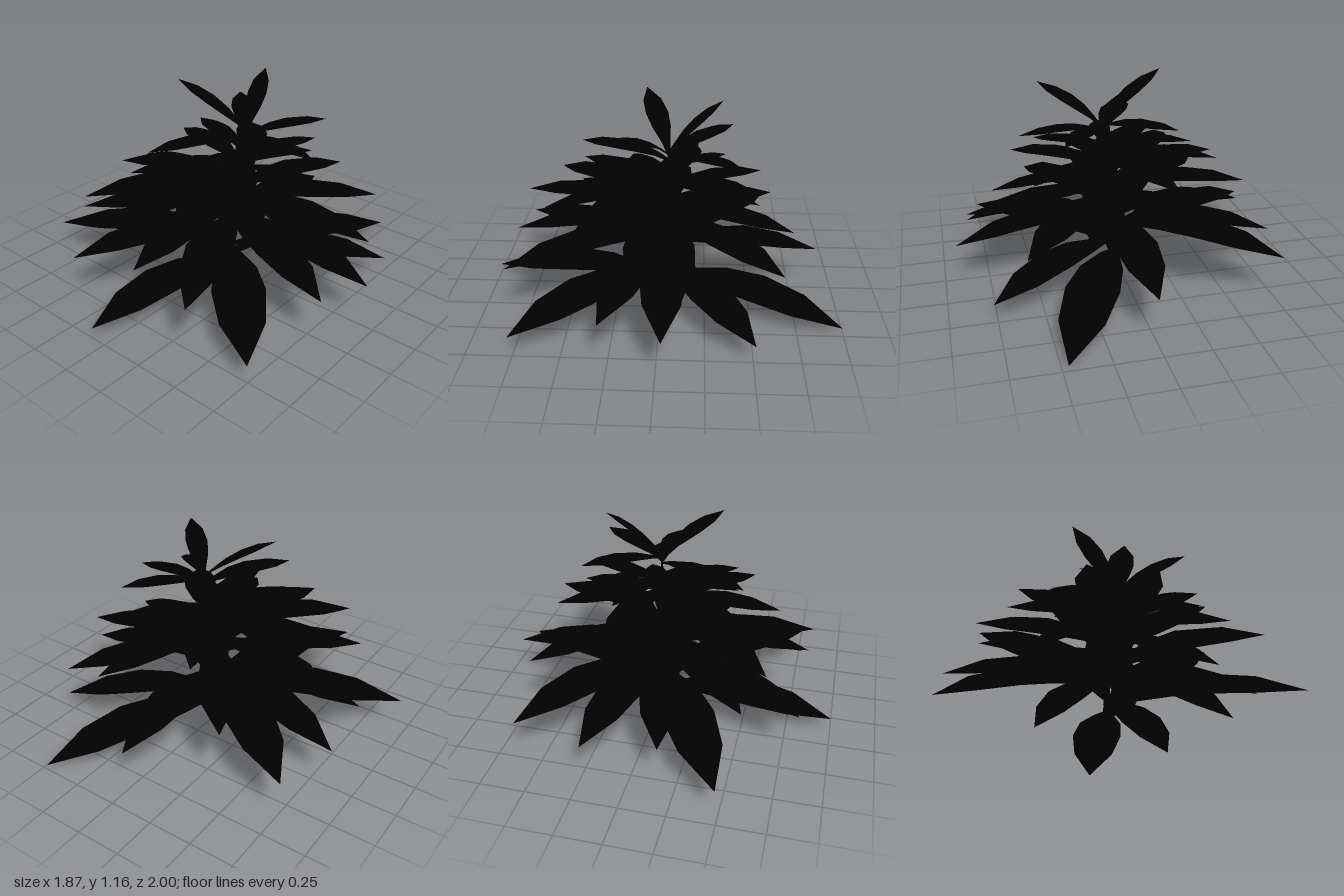
import * as THREE from 'three';

const foliage = new THREE.MeshStandardMaterial({ color: 0x000000, flatShading: true, side: THREE.DoubleSide });
const bark = new THREE.MeshStandardMaterial({ color: 0x000000 });

// The leaning stem that every leaf grows from
const stemCurve = new THREE.CatmullRomCurve3([
  new THREE.Vector3(0.01, 0, -0.01),
  new THREE.Vector3(0.02, 0.3, -0.01),
  new THREE.Vector3(0.045, 0.6, -0.02),
  new THREE.Vector3(0.1, 0.9, -0.04),
]);

// Leaf outline: position along the leaf, half width relative to length
const OUTLINE = [[0, 0.025], [0.12, 0.05], [0.32, 0.11], [0.53, 0.135], [0.76, 0.11], [1, 0]];

// Arched leaf whose two halves droop from the midrib
function makeLeaf(baseY, [x, y, z], arch) {
  const base = stemCurve.getPoint(Math.min(baseY / 0.9, 1));
  const tip = new THREE.Vector3(x, y, z);
  const along = tip.clone().sub(base);
  const length = along.length();
  const side = new THREE.Vector3(along.z, 0, -along.x).normalize();
  const positions = [], index = [];
  OUTLINE.forEach(([t, w], row) => {
    const mid = base.clone().lerp(tip, t);
    mid.y += 4 * t * (1 - t) * arch * length;
    for (const s of [-1, 0, 1]) {
      const p = mid.clone().addScaledVector(side, s * w * length);
      p.y -= Math.abs(s) * w * length * 0.42;
      positions.push(p.x, p.y, p.z);
    }
    if (row === 0) return;
    for (const c of [0, 1]) {
      const a = (row - 1) * 3 + c, b = a + 3;
      index.push(a, a + 1, b, a + 1, b + 1, b);
    }
  });
  const geometry = new THREE.BufferGeometry();
  geometry.setAttribute('position', new THREE.Float32BufferAttribute(positions, 3));
  geometry.setIndex(index);
  geometry.computeVertexNormals();
  const leaf = new THREE.Mesh(geometry, foliage);
  leaf.name = 'leaf';
  return leaf;
}

// Whorls from the ground up: height on the stem of the first leaf, step
// between leaves, how strongly they arch, and the leaf tips
const WHORLS = [
  { name: 'bottomLeaves', y: 0.07, step: 0.03, arch: 0.132,
    tips: [[-0.09, 0.06, 1], [0.47, 0.03, -1], [0.76, 0.12, 0.77], [0.77, 0.11, -0.51], [-0.94, 0.16, 0.48]] },
  { name: 'lowerLeaves', y: 0.25, step: 0.013, arch: 0.145,
    tips: [[-0.78, 0.25, -0.63], [-0.41, 0.28, 0.83], [-0.86, 0.23, -0.24], [0, 0.26, -0.9],
      [0.85, 0.27, 0.29], [-0.82, 0.26, 0.16], [0.93, 0.23, -0.03], [0.43, 0.33, 0.84]] },
  { name: 'middleLeaves', y: 0.42, step: 0.017, arch: 0.125,
    tips: [[-0.63, 0.41, 0.55], [0.07, 0.4, 0.83], [0.6, 0.42, -0.65], [-0.44, 0.42, -0.66],
      [0.86, 0.43, -0.13], [-0.75, 0.49, -0.09], [0.3, 0.52, -0.72], [-0.17, 0.54, 0.8], [0.7, 0.47, 0.15]] },
  { name: 'upperLeaves', y: 0.59, step: 0.015, arch: 0.12,
    tips: [[-0.49, 0.56, 0.65], [-0.65, 0.58, 0.22], [0.55, 0.6, 0.45], [0.17, 0.58, 0.65],
      [-0.2, 0.67, -0.57], [0.5, 0.62, -0.2], [0.2, 0.63, -0.54], [-0.53, 0.69, -0.2]] },
  { name: 'highLeaves', y: 0.71, step: 0.017, arch: 0.1,
    tips: [[-0.3, 0.7, 0.48], [0.25, 0.74, -0.5], [0.42, 0.7, 0.36], [0.02, 0.76, 0.42],
      [-0.38, 0.8, -0.19], [-0.15, 0.79, -0.36]] },
  { name: 'crownLeaves', y: 0.85, step: 0.008, arch: 0.11,
    tips: [[-0.16, 0.86, 0.47], [0.55, 0.85, -0.03], [0.36, 0.91, -0.43], [-0.24, 0.94, -0.4],
      [0.4, 1.07, 0.26], [-0.28, 1.145, 0.1], [0, 1.16, -0.33]] },
];

export function createModel() {
  const plant = new THREE.Group();
  plant.name = 'plant';

  // Stem, tapering towards the crown
  const stemGeometry = new THREE.CylinderGeometry(0.006, 0.021, 0.9, 8, 8);
  const pos = stemGeometry.attributes.position;
  for (let i = 0; i < pos.count; i++) {
    const centre = stemCurve.getPoint(THREE.MathUtils.clamp(pos.getY(i) / 0.9 + 0.5, 0, 1));
    pos.setXYZ(i, pos.getX(i) + centre.x, centre.y, pos.getZ(i) + centre.z);
  }
  stemGeometry.computeVertexNormals();
  const stem = new THREE.Mesh(stemGeometry, bark);
  stem.name = 'stem';
  plant.add(stem);

  // Leaves, whorl by whorl
  for (const { name, y, step, arch, tips } of WHORLS) {
    const whorl = new THREE.Group();
    whorl.name = name;
    tips.forEach((tip, i) => whorl.add(makeLeaf(y + i * step, tip, arch)));
    plant.add(whorl);
  }
  return plant;
}
